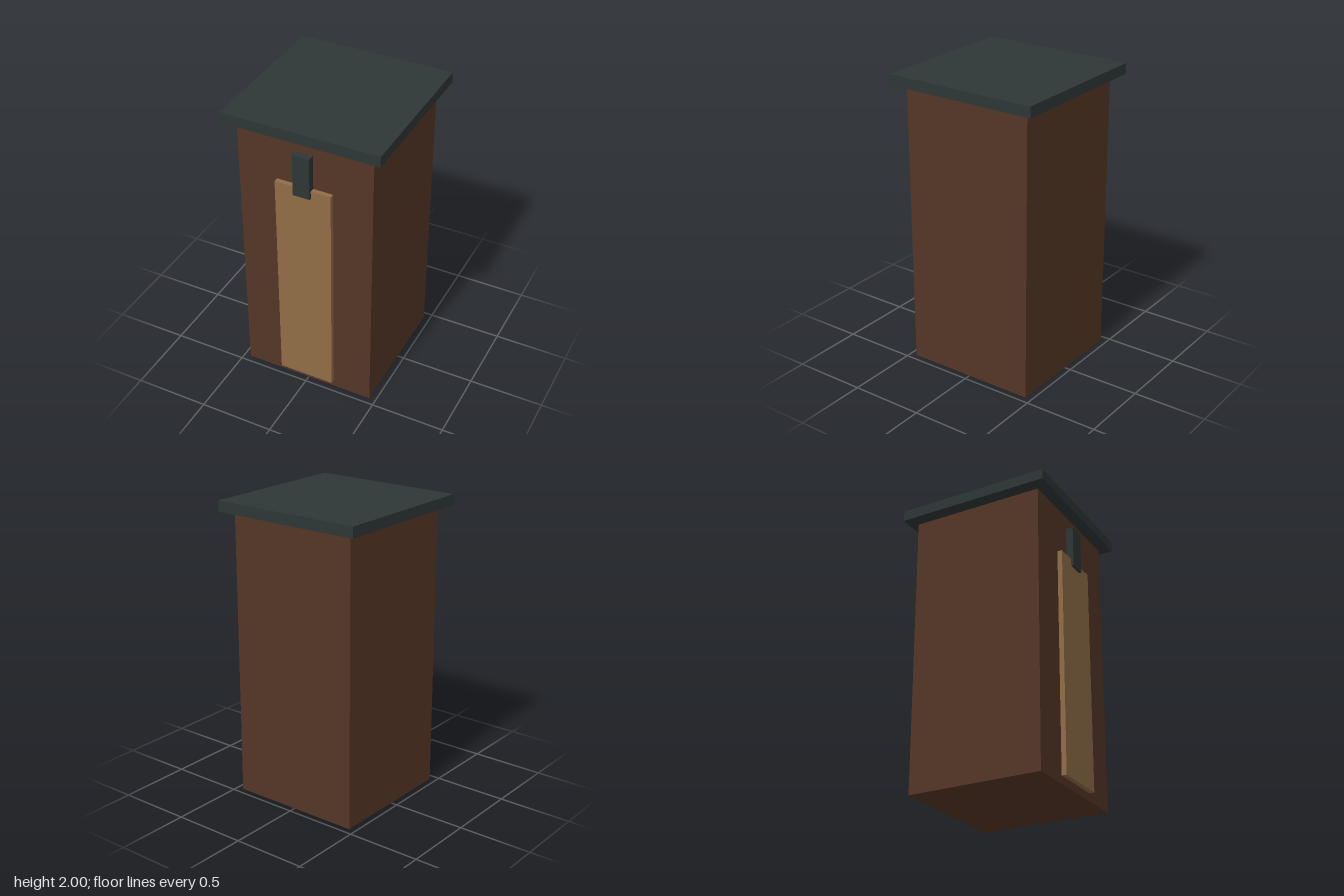
import * as THREE from 'three';

function material(name, color) {
  const m = new THREE.MeshStandardMaterial({ color });
  m.name = name;
  return m;
}

export function createModel() {
  const model = new THREE.Group();
  model.name = 'cabinet';

  const brown = material('dark brown wood', 0x553625);
  const tan = material('tan wood', 0x906d47);
  const slate = material('dark slate', 0x2e3736);

  // Box given by its min and max corners
  function box(name, mat, [x0, y0, z0], [x1, y1, z1]) {
    const mesh = new THREE.Mesh(new THREE.BoxGeometry(x1 - x0, y1 - y0, z1 - z0), mat);
    mesh.position.set((x0 + x1) / 2, (y0 + y1) / 2, (z0 + z1) / 2);
    mesh.name = name;
    model.add(mesh);
  }

  // Tall square body
  box('body', brown, [-0.455, 0, -0.455], [0.455, 1.915, 0.455]);
  // Overhanging flat roof, floating just above the body
  box('roof', slate, [-0.527, 1.928, -0.527], [0.527, 2, 0.527]);
  // Raised front panel and the latch overlapping its top edge
  box('frontPanel', tan, [-0.19, 0.053, 0.45], [0.19, 1.585, 0.488]);
  box('latch', slate, [-0.057, 1.535, 0.45], [0.057, 1.823, 0.505]);

  return model;
}
